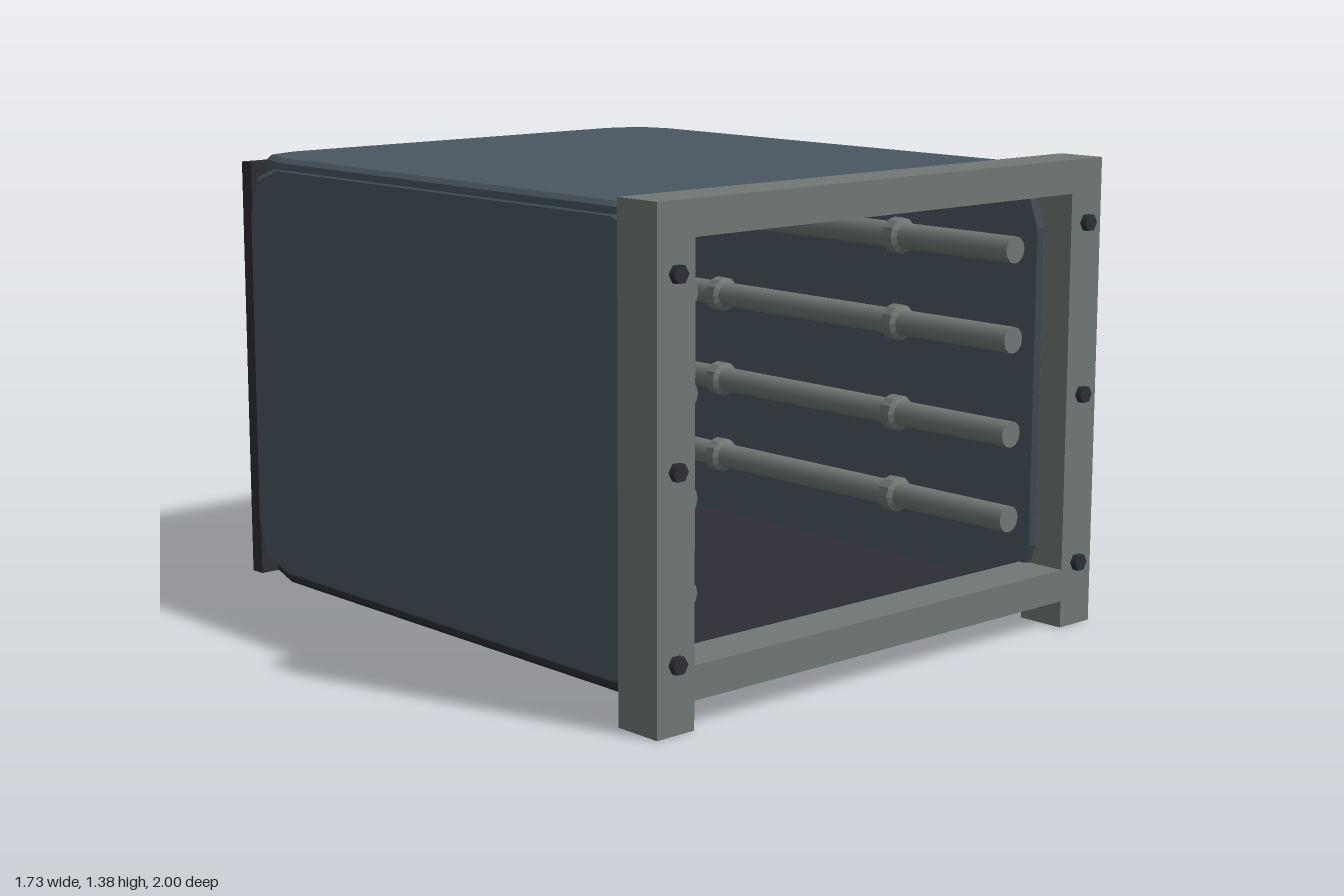
import * as THREE from 'three';

const mat = (name, color) => {
  const m = new THREE.MeshStandardMaterial({ color });
  m.name = name;
  return m;
};

// Slab with clipped corners and a small bevel, w by h, thickness t along z, centred
function slabGeometry(w, h, t) {
  const x = w / 2, y = h / 2, a = 0.155, b = 0.04, bevel = 0.014;
  const quarter = [[x, y - a], [x - b, y - b], [x - a, y]];
  const mirrored = (sx, sy) => quarter.map(([px, py]) => new THREE.Vector2(px * sx, py * sy));
  const points = [
    ...mirrored(1, 1), ...mirrored(-1, 1).reverse(),
    ...mirrored(-1, -1), ...mirrored(1, -1).reverse(),
  ];
  const geo = new THREE.ExtrudeGeometry(new THREE.Shape(points), {
    depth: t - 2 * bevel, bevelEnabled: true, bevelThickness: bevel,
    bevelSize: bevel, bevelOffset: -bevel, bevelSegments: 1,
  });
  return geo.translate(0, 0, -(t - 2 * bevel) / 2);
}

export function createModel() {
  const model = new THREE.Group();
  model.name = 'cabinet';
  const grey = mat('frame grey', 0x707874);
  const slate = mat('panel slate', 0x4a5761);
  const dark = mat('dark charcoal', 0x2e2d36);

  const add = (name, geo, material, x, y, z, parent = model) => {
    const mesh = new THREE.Mesh(geo, material);
    mesh.name = name;
    mesh.position.set(x, y, z);
    parent.add(mesh);
    return mesh;
  };
  const box = (name, material, x0, x1, y0, y1, z0, z1) =>
    add(name, new THREE.BoxGeometry(x1 - x0, y1 - y0, z1 - z0), material,
      (x0 + x1) / 2, (y0 + y1) / 2, (z0 + z1) / 2);

  // Front frame: two posts joined by two beams
  box('leftPost', grey, 0.735, 0.865, 0, 1.385, 0.83, 0.98);
  box('rightPost', grey, -0.865, -0.735, 0, 1.385, 0.83, 0.98);
  box('topBeam', grey, -0.735, 0.735, 1.287, 1.385, 0.83, 0.98);
  box('bottomBeam', grey, -0.735, 0.735, 0.08, 0.175, 0.83, 0.98);

  // Case: back plate and four clipped slabs
  box('backPanel', dark, -0.785, 0.785, 0.055, 1.335, -1, -0.95);
  const length = 1.835, mid = -0.0375;
  const horizontal = (t) => slabGeometry(1.58, length, t).rotateX(-Math.PI / 2);
  add('topPanel', horizontal(0.09), slate, 0, 1.315, mid);
  add('bottomPanel', horizontal(0.05), dark, 0, 0.08, mid);
  const sideGeo = slabGeometry(length, 1.26, 0.075).rotateY(Math.PI / 2);
  add('leftPanel', sideGeo, slate, 0.7575, 0.705, mid);
  add('rightPanel', sideGeo, slate, -0.7575, 0.705, mid);

  // Rods with two collars each, along both inner walls
  const rodGeo = new THREE.CylinderGeometry(0.04, 0.04, 1.8, 12).rotateX(Math.PI / 2);
  const c = [[0.038, -0.03], [0.055, -0.018], [0.055, 0.018], [0.038, 0.03]];
  const collarGeo = new THREE.LatheGeometry(c.map(([r, y]) => new THREE.Vector2(r, y)), 12)
    .rotateX(Math.PI / 2).toNonIndexed();
  collarGeo.computeVertexNormals();
  // Hex bolts on the posts
  const boltGeo = new THREE.CylinderGeometry(0.026, 0.026, 0.03, 6)
    .rotateY(Math.PI / 6).rotateX(Math.PI / 2);
  for (const side of [-1, 1]) {
    for (const y of [0.32, 0.575, 0.855, 1.12]) {
      const rod = new THREE.Group();
      rod.name = 'rod';
      rod.position.set(side * 0.645, y, 0);
      model.add(rod);
      add('rodShaft', rodGeo, grey, 0, 0, -0.05, rod);
      for (const z of [-0.39, 0.39]) add('rodCollar', collarGeo, grey, 0, 0, z, rod);
    }
    for (const y of [0.19, 0.695, 1.2]) add('bolt', boltGeo, dark, side * 0.8, y, 0.985);
  }
  return model;
}
